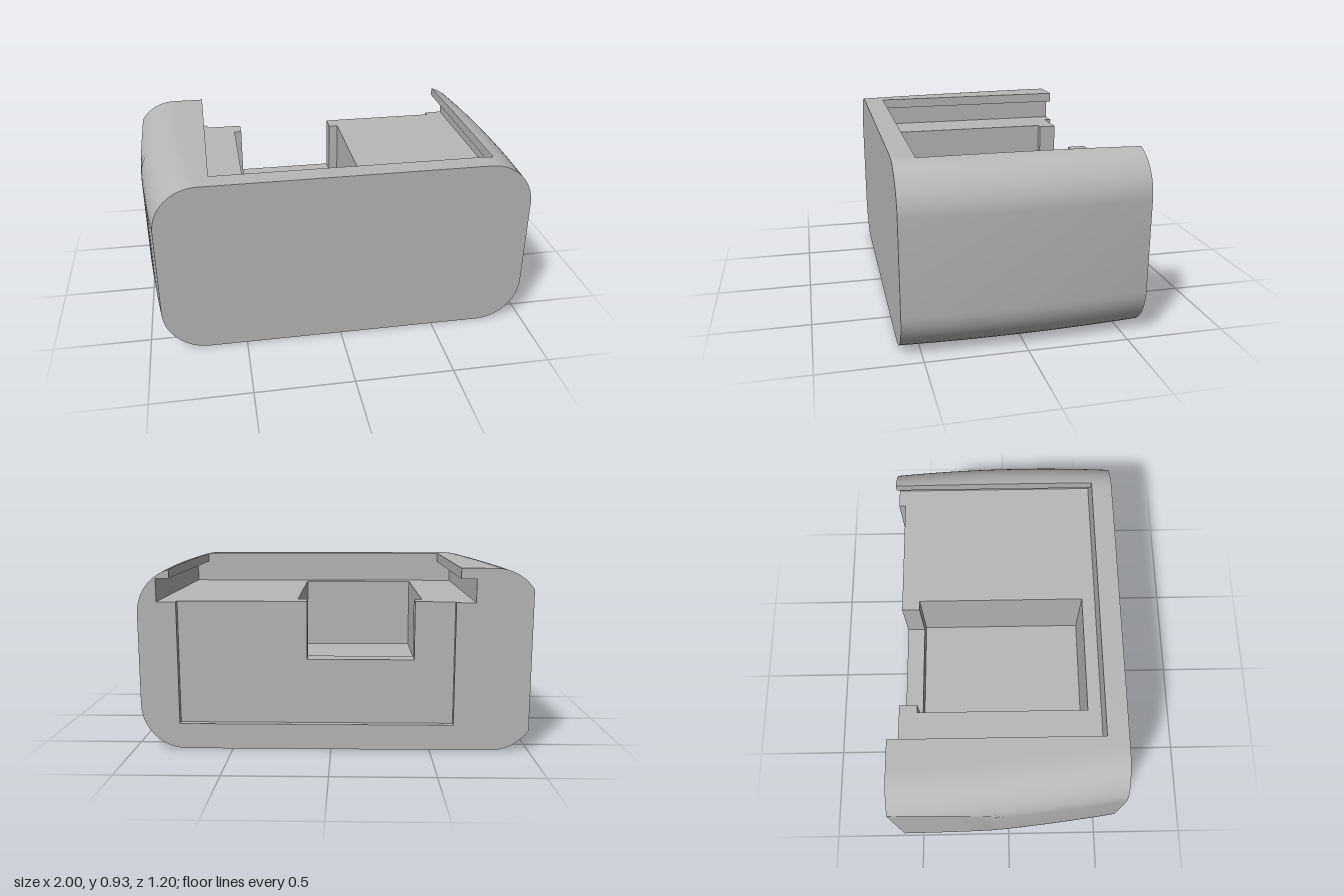
import * as THREE from 'three';
import { toCreasedNormals } from 'three/addons/utils/BufferGeometryUtils.js';

const HEIGHT = 0.925, RADIUS = 0.23, CLIP = -1;
// Lid slot: opening, wider groove under the lips, floor
const OPEN = [-0.64, 0.80], GROOVE = [-0.717, 0.867], LIP_Y = 0.872, FLOOR_Y = 0.755;
// Cuts into the slot floor: x range and bottom
const POCKET = { x0: -0.46, x1: 0.17, y: 0.36 };
const CHANNEL = { x0: -0.42, x1: 0.12, y: 0.46 };
const RECESS = { x0: -0.62, x1: 0.77, y: 0.13 };

// Gently bowed sides
const bow = z => 1 - (z / 0.6) ** 2;
const leftEdge = z => -0.981 + 0.0933 * z - 0.016 * bow(z);
const rightEdge = z => 0.975 + 0.0167 * z + 0.024 * bow(z);

function arc(cx, cy, a0, a1, n = 14) {
  return Array.from({ length: n + 1 }, (_, i) => {
    const a = a0 + (a1 - a0) * i / n;
    return [cx + RADIUS * Math.cos(a), cy + RADIUS * Math.sin(a)];
  });
}

// Outside of the body, counter-clockwise from one lip of the slot to the other
function outline(z) {
  const P = Math.PI, lx = leftEdge(z) + RADIUS, rx = rightEdge(z) - RADIUS;
  const phi = Math.acos(Math.min(1, (lx - CLIP) / RADIUS));
  const end = Math.acos((OPEN[1] - rx) / RADIUS);
  const top = HEIGHT - RADIUS;
  return [
    [OPEN[0], HEIGHT],
    ...arc(lx, top, P / 2, P - phi),
    ...arc(lx, RADIUS, P + phi, P * 1.5),
    ...arc(rx, RADIUS, -P / 2, 0),
    ...arc(rx, top, 0, end),
  ];
}

// T-shaped slot, with an optional cut in its floor
function slot(cut) {
  const notch = cut ? [[cut.x1, FLOOR_Y], [cut.x1, cut.y], [cut.x0, cut.y], [cut.x0, FLOOR_Y]] : [];
  return [
    [OPEN[1], LIP_Y], [GROOVE[1], LIP_Y], [GROOVE[1], FLOOR_Y],
    ...notch,
    [GROOVE[0], FLOOR_Y], [GROOVE[0], LIP_Y], [OPEN[0], LIP_Y],
  ];
}

const solidProfile = z => [...outline(z), [rightEdge(z) - RADIUS, HEIGHT]];
const slotProfile = cut => z => [...outline(z), ...slot(cut)];

// Floor-cut outline with a smaller channel taken out of its top
const aroundChannel = c => [
  [c.x0, FLOOR_Y], [c.x0, c.y], [c.x1, c.y], [c.x1, FLOOR_Y],
  [CHANNEL.x1, FLOOR_Y], [CHANNEL.x1, CHANNEL.y], [CHANNEL.x0, CHANNEL.y], [CHANNEL.x0, FLOOR_Y],
];

export function createModel() {
  const pos = [];

  // Walls swept along z through a profile
  function walls(profile, z0, z1) {
    const n = Math.ceil((z1 - z0) / 0.08);
    for (let k = 0; k < n; k++) {
      const za = z0 + (z1 - z0) * k / n, zb = z0 + (z1 - z0) * (k + 1) / n;
      const A = profile(za), B = profile(zb);
      for (let i = 0; i < A.length; i++) {
        const j = (i + 1) % A.length;
        const a = [...A[i], za], b = [...A[j], za], c = [...B[j], zb], d = [...B[i], zb];
        pos.push(...a, ...b, ...c, ...a, ...c, ...d);
      }
    }
  }

  // Flat face across z, from a counter-clockwise outline
  function cap(points, z, facing) {
    const v = points.map(p => new THREE.Vector2(...p));
    for (const [a, b, c] of THREE.ShapeUtils.triangulateShape(v, [])) {
      const order = facing > 0 ? [a, b, c] : [a, c, b];
      for (const i of order) pos.push(...points[i], z);
    }
  }

  // Solid front end
  walls(solidProfile, 0.49, 0.6);
  cap(solidProfile(0.6), 0.6, 1);

  // Front wall of the lid slot
  const lip = outline(0.49).pop();
  cap([...slot().reverse(), lip, [rightEdge(0.49) - RADIUS, HEIGHT], [OPEN[0], HEIGHT]], 0.49, -1);
  walls(slotProfile(), 0.42, 0.49);

  // Deep pocket
  cap([[POCKET.x0, POCKET.y], [POCKET.x1, POCKET.y], [POCKET.x1, FLOOR_Y], [POCKET.x0, FLOOR_Y]], 0.42, -1);
  walls(slotProfile(POCKET), -0.47, 0.42);

  // Channel leading out of the pocket
  cap(aroundChannel(POCKET), -0.47, 1);
  walls(slotProfile(CHANNEL), -0.565, -0.47);

  // Shallow recess in the back
  cap(aroundChannel(RECESS), -0.565, -1);
  walls(slotProfile(RECESS), -0.6, -0.565);
  cap(slotProfile(RECESS)(-0.6), -0.6, -1);

  const geometry = new THREE.BufferGeometry();
  geometry.setAttribute('position', new THREE.Float32BufferAttribute(pos, 3));
  const grey = new THREE.MeshStandardMaterial({ color: 0xb8b8b8 });
  grey.name = 'grey plastic';
  const housing = new THREE.Mesh(toCreasedNormals(geometry, 0.3), grey);
  housing.name = 'housing';

  const model = new THREE.Group();
  model.name = 'slottedCase';
  model.add(housing);
  return model;
}
